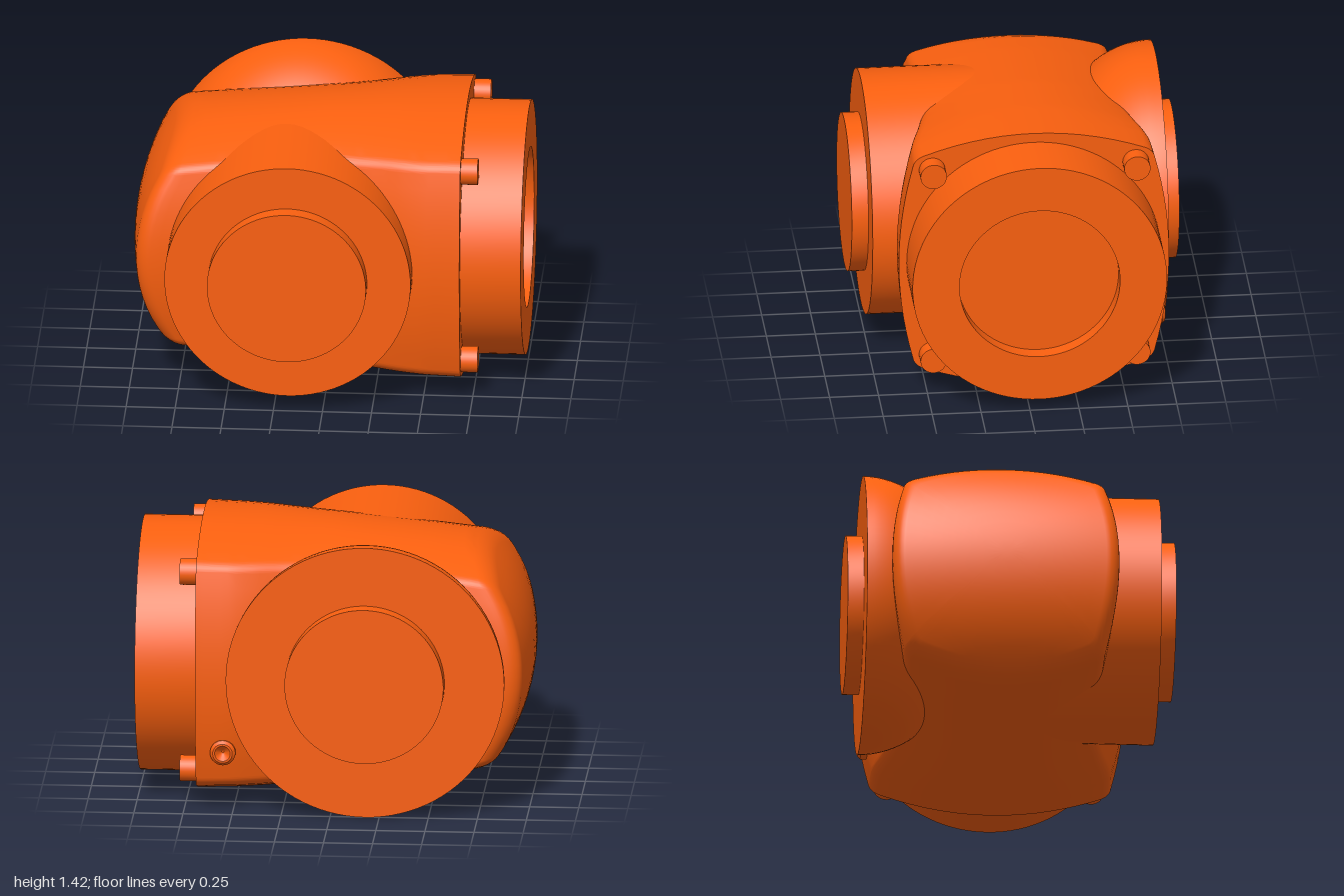
import * as THREE from 'three';
import { toCreasedNormals } from 'three/addons/utils/BufferGeometryUtils.js';

const CY = 0.715, CZ = -0.05;   // axis of the body and outlet
const PORT_X = -0.178;          // axis of the front and back ports

// Piecewise linear lookup in [x, value] stations, x ascending
function lookup(stations, x) {
  if (x <= stations[0][0]) return stations[0][1];
  for (let i = 1; i < stations.length; i++) {
    const [x0, a] = stations[i - 1], [x1, b] = stations[i];
    if (x <= x1) return THREE.MathUtils.lerp(a, b, (x - x0) / (x1 - x0));
  }
  return stations[stations.length - 1][1];
}
const halfHeight = x => lookup([[-0.8, 0.58], [-0.5, 0.618], [0, 0.668], [0.35, 0.69], [0.69, 0.7]], x);
const halfDepth = x => lookup([[-0.95, 0.58], [-0.5, 0.565], [0, 0.567], [0.1, 0.58], [0.25, 0.618],
  [0.4, 0.662], [0.5, 0.683], [0.69, 0.69]], x);

// Square with bulged sides and small rounded corners, in unit size
function bulgedSquare() {
  const s = new THREE.Shape();
  s.moveTo(-0.82, 0.852);
  s.quadraticCurveTo(0, 1.148, 0.82, 0.852);
  s.quadraticCurveTo(0.885, 0.825, 0.896, 0.77);
  s.quadraticCurveTo(1.104, 0, 0.896, -0.77);
  s.quadraticCurveTo(0.885, -0.825, 0.82, -0.852);
  s.quadraticCurveTo(0, -1.148, -0.82, -0.852);
  s.quadraticCurveTo(-0.885, -0.825, -0.896, -0.77);
  s.quadraticCurveTo(-1.104, 0, -0.896, 0.77);
  s.quadraticCurveTo(-0.885, 0.825, -0.82, 0.852);
  return s.getPoints(14);
}

// Curved closed end of the body
const endX = (dy, dz) => -1 + 0.8 - Math.sqrt(0.64 - dy * dy) + 0.12 * dz * dz;

// Body: rings from the outlet face to the domed end, then across the end
function bodyGeometry() {
  const profile = bulgedSquare(), n = profile.length, round = 0.07;
  const rings = [{ t: 0, s: 0 }];
  for (let i = 0; i <= 36; i++) rings.push({ t: i / 36, s: 1 });
  for (let i = 1; i <= 6; i++) rings.push({ round: (i / 6) * Math.PI / 2 });
  for (let i = 9; i >= 0; i--) rings.push({ end: i / 10 });

  const pos = [], index = [];
  for (const ring of rings) {
    for (const { x: u, y: v } of profile) {
      const edge = endX(v * 0.58, u * 0.575) + round;
      const x = ring.t === undefined ? edge : THREE.MathUtils.lerp(0.69, edge, ring.t);
      const hy = halfHeight(x), hz = halfDepth(x);
      if (ring.t !== undefined) {
        pos.push(x, CY + v * hy * ring.s, CZ + u * hz * ring.s);
        continue;
      }
      const a = ring.round ?? Math.PI / 2;
      const s = (1 - 0.1 * (1 - Math.cos(a))) * (ring.end === undefined ? 1 : ring.end / 0.9 * 0.98);
      const dy = v * hy * s, dz = u * hz * s;
      pos.push(endX(dy, dz) + round * (1 - Math.sin(a)), CY + dy, CZ + dz);
    }
  }
  for (let i = 0; i < rings.length - 1; i++) {
    for (let j = 0; j < n - 1; j++) {
      const a = i * n + j, b = a + 1, c = a + n, d = c + 1;
      index.push(a, c, b, b, c, d);
    }
  }
  const g = new THREE.BufferGeometry();
  g.setAttribute('position', new THREE.Float32BufferAttribute(pos, 3));
  g.setIndex(index);
  return toCreasedNormals(g, 0.6);
}

// Turned part from [radius, height] points
function turned(points, segments = 96) {
  const g = new THREE.LatheGeometry(points.map(p => new THREE.Vector2(...p)), segments);
  return toCreasedNormals(g, 0.6);
}

export function createModel() {
  const model = new THREE.Group();
  model.name = 'threePortValveBody';
  const material = new THREE.MeshStandardMaterial({ color: 0xfb600f });
  const add = (name, geometry, x = 0, y = 0, z = 0) => {
    const mesh = new THREE.Mesh(geometry, material);
    mesh.name = name;
    mesh.position.set(x, y, z);
    model.add(mesh);
  };

  add('body', bodyGeometry());

  // Outlet collar with a shallow round recess
  add('outletCollar', turned([[0, 0.6], [0.65, 0.6], [0.65, 1], [0.41, 1], [0.41, 0.915], [0, 0.915]])
    .rotateZ(-Math.PI / 2), 0, CY, CZ);

  // Four bolt heads around the collar
  for (const dy of [-0.518, 0.518]) {
    for (const dz of [-0.52, 0.52]) {
      add('bolt', new THREE.CylinderGeometry(0.067, 0.067, 0.135, 32).rotateZ(-Math.PI / 2),
        0.708, CY + dy, CZ + dz);
    }
  }

  // Front port: straight boss with a raised disc
  add('frontPort', turned([[0, 0.1], [0.627, 0.1], [0.627, 0.75], [0.405, 0.75], [0.405, 0.835], [0, 0.835]])
    .rotateX(Math.PI / 2), PORT_X, CY, 0);

  // Back port: domed flange with a raised disc
  const dome = [];
  for (let i = 0; i <= 24; i++) {
    const a = (i / 24) * Math.PI / 2;
    dome.push([0.71 * Math.sin(a), 0.755 - 0.57 * Math.cos(a)]);
  }
  add('backPort', turned([...dome, [0.405, 0.755], [0.405, 0.838], [0, 0.838]])
    .rotateX(-Math.PI / 2), PORT_X, CY, 0);

  // Small drain plug beside the back port, with a tapered socket
  add('drainPlug', turned([[0, 0.6], [0.065, 0.6], [0.065, 0.715], [0.05, 0.73], [0.04, 0.73], [0, 0.69]], 32)
    .rotateX(-Math.PI / 2), 0.55, 0.32, 0);

  return model;
}
